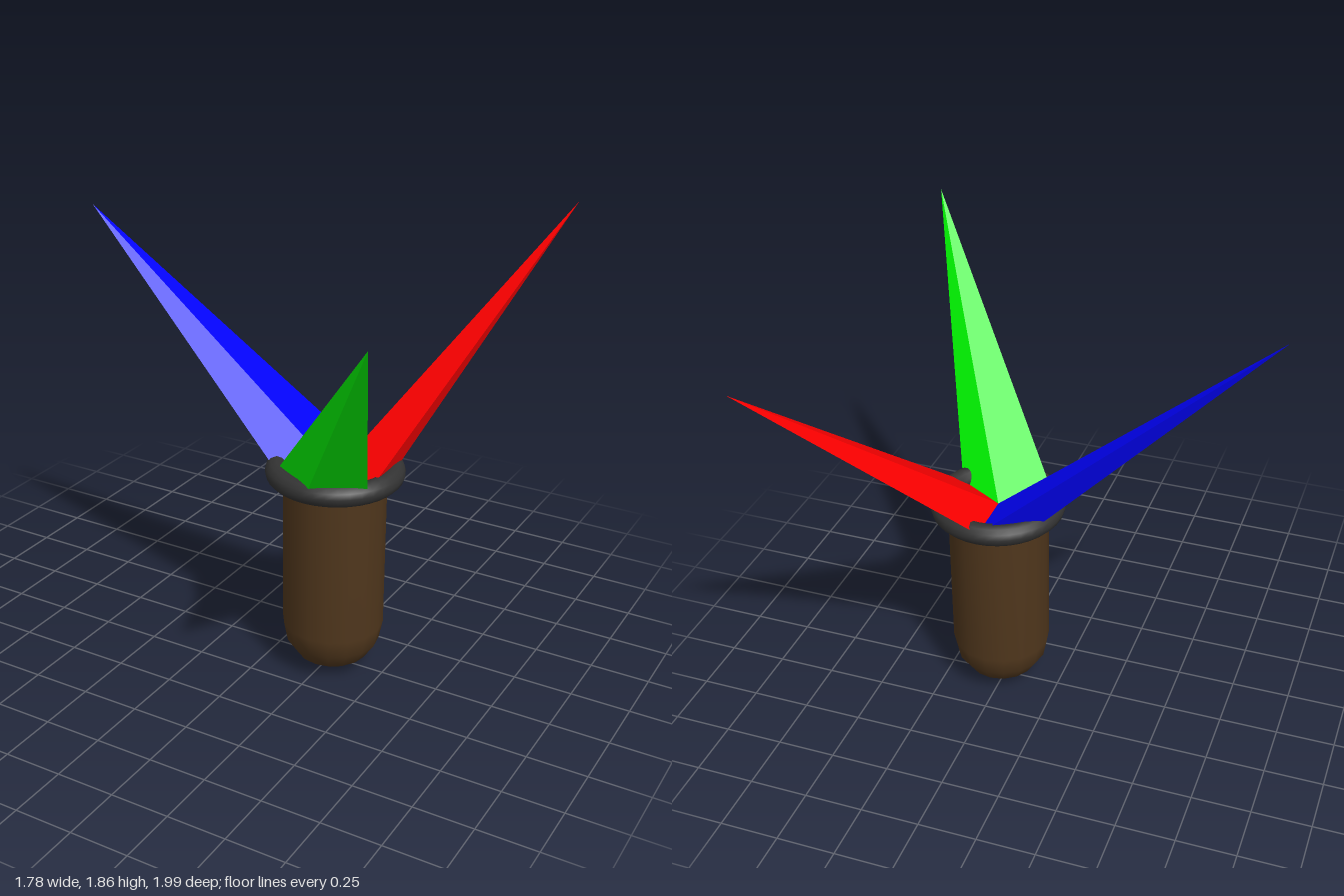
import * as THREE from 'three';

const CENTER = new THREE.Vector3(0.27, 0.9, 0.02);
const RING = 0.24;

// Pyramid over one third of a hexagon, leaning out to its tip
function spike(name, color, tip, startDegrees) {
  const base = [CENTER.clone()];
  for (let i = 0; i < 3; i++) {
    const a = THREE.MathUtils.degToRad(startDegrees + i * 60);
    base.push(new THREE.Vector3(Math.cos(a) * RING, 0, Math.sin(a) * RING).add(CENTER));
  }
  const points = [];
  for (let i = 0; i < 4; i++) points.push(base[(i + 1) % 4], base[i], tip);
  points.push(base[0], base[1], base[2], base[0], base[2], base[3]);
  const geometry = new THREE.BufferGeometry().setFromPoints(points);
  geometry.computeVertexNormals();
  const mesh = new THREE.Mesh(geometry, new THREE.MeshStandardMaterial({ color, flatShading: true }));
  mesh.name = name;
  return mesh;
}

export function createModel() {
  const group = new THREE.Group();

  // Handle with a rounded lower end and flat top
  const radius = 0.213;
  const profile = [];
  for (let i = 0; i <= 4; i++) {
    const a = (i / 4) * Math.PI / 2;
    profile.push(new THREE.Vector2(radius * Math.sin(a), radius * (1 - Math.cos(a))));
  }
  profile.push(new THREE.Vector2(radius, 0.89));
  const handle = new THREE.Mesh(
    new THREE.LatheGeometry(profile, 16),
    new THREE.MeshStandardMaterial({ color: 0x4f361c, side: THREE.DoubleSide })
  );
  handle.position.set(CENTER.x, 0, CENTER.z);
  handle.name = 'handle';
  group.add(handle);

  // Collar around the spike bases
  const collar = new THREE.Mesh(
    new THREE.TorusGeometry(RING, 0.046, 12, 36),
    new THREE.MeshStandardMaterial({ color: 0x333333 })
  );
  collar.rotation.x = Math.PI / 2;
  collar.position.copy(CENTER).setY(0.905);
  collar.name = 'collar';
  group.add(collar);

  // Three spikes spread evenly around the collar
  group.add(
    spike('greenSpike', 0x00ff00, new THREE.Vector3(0.89, 1.85, 0.99), 30),
    spike('blueSpike', 0x0000ff, new THREE.Vector3(-0.89, 1.85, 0.02), 150),
    spike('redSpike', 0xff0000, new THREE.Vector3(0.855, 1.86, -1.0), 270)
  );
  return group;
}
